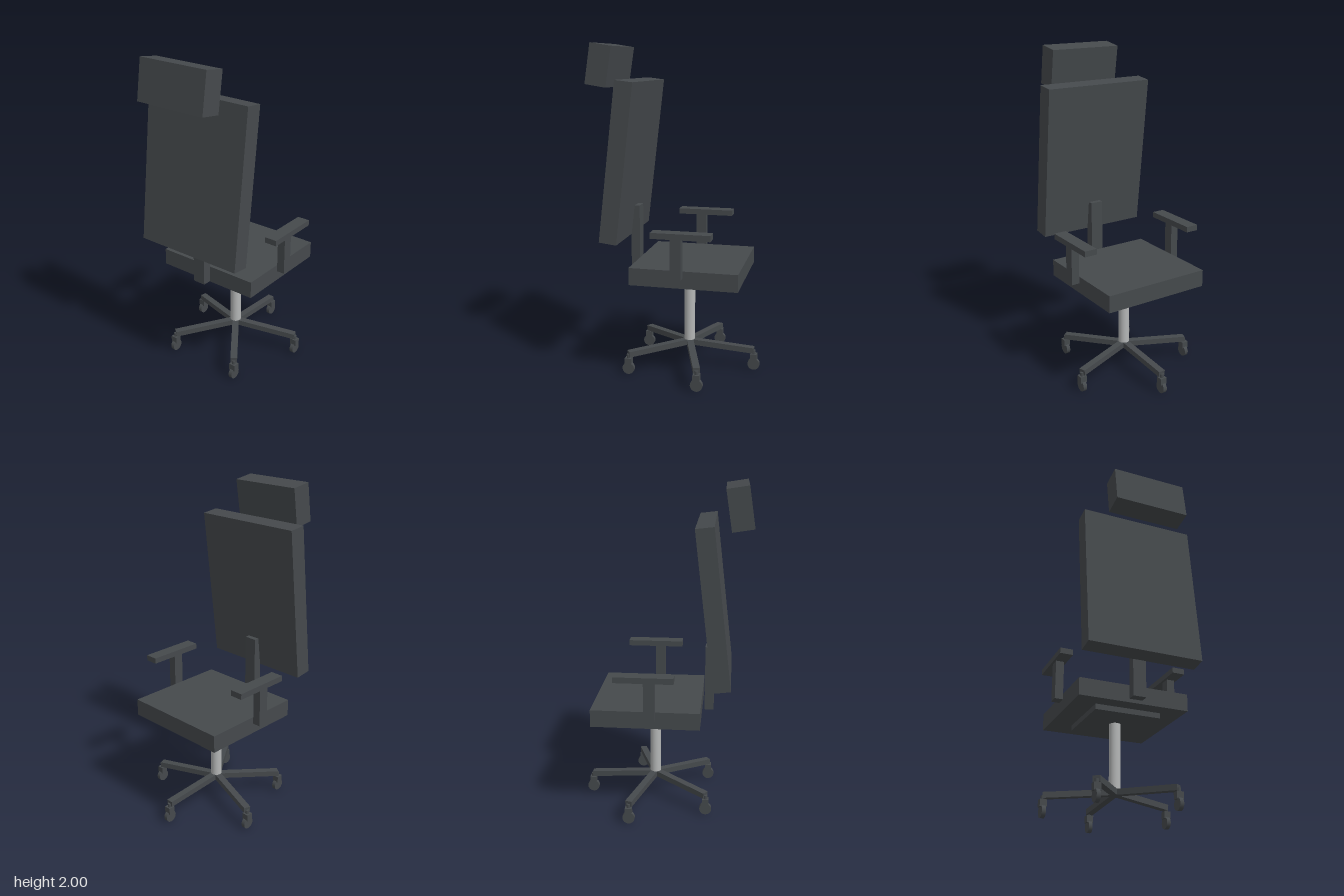
import * as THREE from 'three';

const charcoal = new THREE.MeshStandardMaterial({ color: 0x45494c });
charcoal.name = 'charcoal';
const steel = new THREE.MeshStandardMaterial({ color: 0xb4b6b6 });
steel.name = 'steel';

const CENTRE_Z = -0.068; // axis of the column and base
const REACH = 0.41;      // distance from the axis to each caster

function add(parent, name, geometry, material, x, y, z) {
  const mesh = new THREE.Mesh(geometry, material);
  mesh.name = name;
  mesh.position.set(x, y, z);
  parent.add(mesh);
  return mesh;
}

const box = (parent, name, size, pos) =>
  add(parent, name, new THREE.BoxGeometry(...size), charcoal, ...pos);

function createCaster() {
  const caster = new THREE.Group();
  caster.name = 'caster';
  const wheel = new THREE.CylinderGeometry(0.037, 0.037, 0.024, 24).rotateZ(Math.PI / 2);
  add(caster, 'wheel', wheel, charcoal, 0, 0.037, 0);
  box(caster, 'fork', [0.042, 0.042, 0.04], [0, 0.083, 0]);
  add(caster, 'stem', new THREE.CylinderGeometry(0.012, 0.012, 0.03, 12), charcoal, 0, 0.112, 0);
  return caster;
}

export function createModel() {
  const chair = new THREE.Group();
  chair.name = 'officeChair';

  // Seat and its mounting plate
  box(chair, 'seat', [0.676, 0.105, 0.65], [0, 0.652, -0.098]);
  box(chair, 'seatPlate', [0.404, 0.034, 0.404], [0, 0.584, CENTRE_Z]);

  // Leaning backrest, headrest and upright bracket
  box(chair, 'backBracket', [0.08, 0.405, 0.055], [0, 0.817, 0.27]);
  box(chair, 'backrest', [0.704, 0.947, 0.107], [0, 1.315, 0.2935]).rotation.x = -0.1175;
  box(chair, 'headrest', [0.46, 0.24, 0.13], [0, 1.872, 0.43]).rotation.x = -0.155;

  // Armrests
  for (const side of [-1, 1]) {
    const arm = new THREE.Group();
    arm.name = side > 0 ? 'leftArmrest' : 'rightArmrest';
    box(arm, 'armPost', [0.05, 0.24, 0.064], [side * 0.367, 0.785, CENTRE_Z]);
    box(arm, 'armPad', [0.079, 0.035, 0.352], [side * 0.366, 0.922, -0.099]);
    chair.add(arm);
  }

  // Gas column
  add(chair, 'column', new THREE.CylinderGeometry(0.034, 0.034, 0.41, 32), steel, 0, 0.365, CENTRE_Z);

  // Five sloping legs, with casters all facing forward
  for (let i = 0; i < 5; i++) {
    const angle = Math.PI + (i * Math.PI * 2) / 5;
    const leg = new THREE.Group();
    leg.name = 'leg';
    leg.position.set(0, 0.153, CENTRE_Z);
    leg.rotation.y = angle;
    box(leg, 'legBar', [0.042, 0.035, REACH], [0, -0.013, REACH / 2]).rotation.x = 0.063;
    chair.add(leg);

    const caster = createCaster();
    caster.position.set(Math.sin(angle) * REACH, 0, CENTRE_Z + Math.cos(angle) * REACH);
    chair.add(caster);
  }

  return chair;
}
